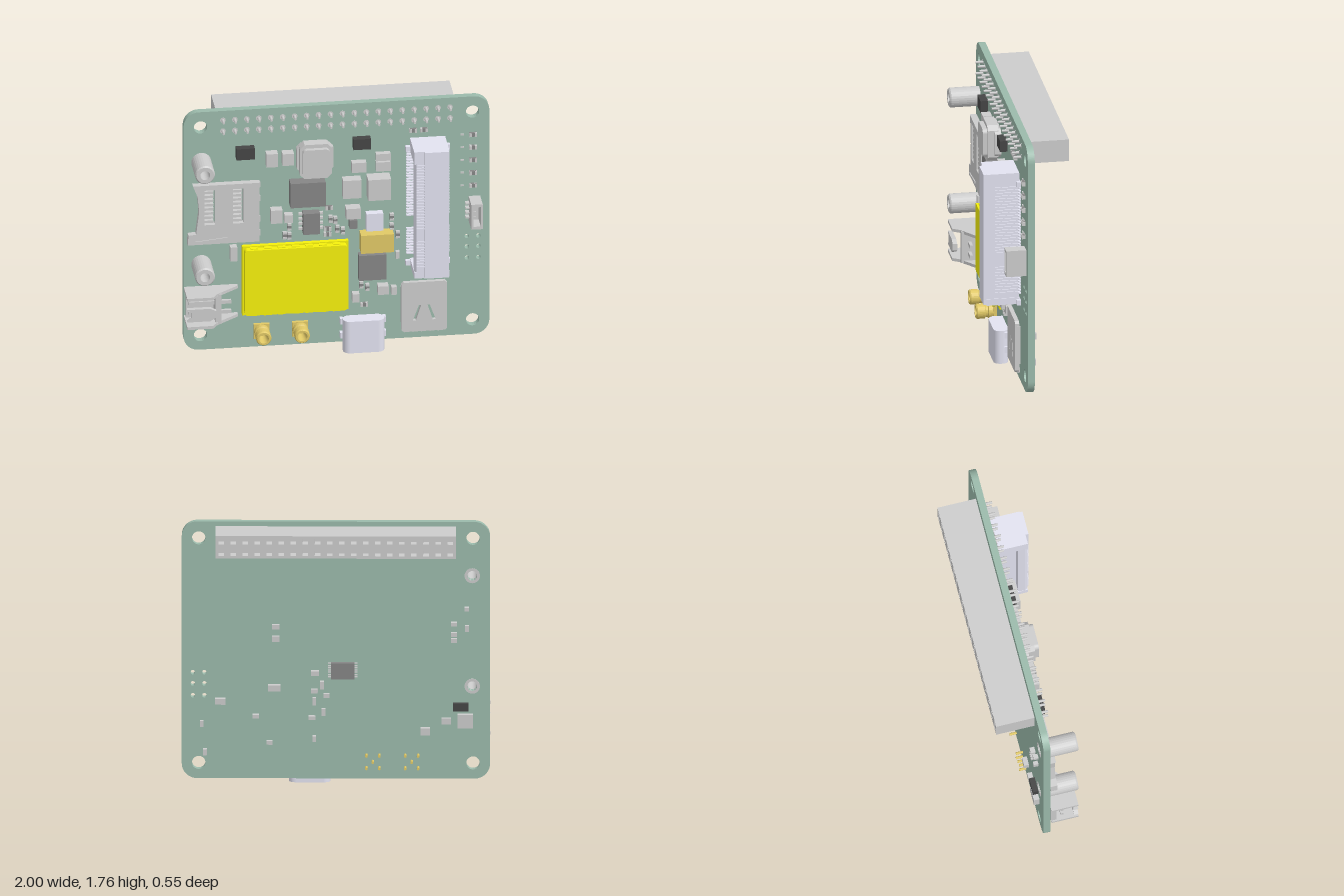
import * as THREE from 'three';

const mat = (color) => new THREE.MeshStandardMaterial({ color, side: THREE.DoubleSide });
const FRONT = 0.033, BACK = -0.013; // board faces

export function createModel() {
  const root = new THREE.Group();
  const grey = mat(0xcccccc), green = mat(0x9bbaab), yellow = mat(0xf5f00c), gold = mat(0xe0c866),
    pale = mat(0xe2e2f0), dark = mat(0x454545), mid = mat(0x858585);

  // helpers
  const add = (name, geo, m, x = 0, y = 0, z = 0, parent = root) => {
    const mesh = new THREE.Mesh(geo, m);
    mesh.name = name;
    mesh.position.set(x, y, z);
    parent.add(mesh);
    return mesh;
  };
  const group = (name) => {
    const g = new THREE.Group();
    g.name = name;
    root.add(g);
    return g;
  };
  const box = (name, x0, x1, y0, y1, z0, z1, m = grey, parent = root) =>
    add(name, new THREE.BoxGeometry(x1 - x0, y1 - y0, z1 - z0), m, (x0 + x1) / 2, (y0 + y1) / 2, (z0 + z1) / 2, parent);
  const poly = (pts, Type = THREE.Shape) => new Type(pts.map(([x, y]) => new THREE.Vector2(x, y)));
  const rectPts = (x0, x1, y0, y1) => [[x0, y0], [x1, y0], [x1, y1], [x0, y1]];
  const chamfer = (x0, x1, y0, y1, c) => poly([[x0 + c, y0], [x1 - c, y0], [x1, y0 + c], [x1, y1 - c],
    [x1 - c, y1], [x0 + c, y1], [x0, y1 - c], [x0, y0 + c]]);
  const round = (x0, x1, y0, y1, r, Type = THREE.Shape) => {
    const s = new Type();
    s.absarc(x1 - r, y1 - r, r, 0, Math.PI / 2);
    s.absarc(x0 + r, y1 - r, r, Math.PI / 2, Math.PI);
    s.absarc(x0 + r, y0 + r, r, Math.PI, Math.PI * 1.5);
    s.absarc(x1 - r, y0 + r, r, Math.PI * 1.5, Math.PI * 2);
    s.closePath();
    return s;
  };
  const circle = (x, y, r, Type = THREE.Path) => new Type().absarc(x, y, r, 0, Math.PI * 2);
  const extrude = (shape, depth) => new THREE.ExtrudeGeometry(shape, { depth, bevelEnabled: false, curveSegments: 10 });
  const plate = (name, shape, z0, z1, m = grey, parent = root) => add(name, extrude(shape, z1 - z0), m, 0, 0, z0, parent);
  // plan drawn in x,z and extruded downwards from yTop
  const column = (name, shape, yTop, h, m, parent = root) =>
    add(name, extrude(shape, h).rotateX(Math.PI / 2), m, 0, yTop, 0, parent);
  // hollow turned part standing along z, profile given as [radius, z]
  const turned = (name, pts, x, y, m, parent = root) =>
    add(name, new THREE.LatheGeometry(pts.map(([r, z]) => new THREE.Vector2(r, z)), 28).rotateX(Math.PI / 2)
      .toNonIndexed(), m, x, y, 0, parent).geometry.computeVertexNormals();

  // circuit board with mounting and spare pin holes
  const board = round(-1, 1, 0.04, 1.76, 0.1);
  for (const x of [-0.89, 0.89]) for (const y of [0.145, 1.65]) board.holes.push(circle(x, y, 0.044));
  for (const y of [1.4, 0.66]) board.holes.push(circle(-0.885, y, 0.032));
  for (const x of [0.853, 0.928]) for (const y of [0.595, 0.675, 0.75]) board.holes.push(circle(x, y, 0.015));
  plate('circuitBoard', board, BACK, FRONT, green);

  // 2 x 20 socket header on the back, pin tips on the front
  const header = group('socketHeader');
  const face = poly(rectPts(-0.78, 0.78, 1.58, 1.73));
  for (let i = 0; i < 20; i++) for (const y of [1.615, 1.693]) {
    const x = -0.743 + i * 0.0782;
    face.holes.push(poly(rectPts(x - 0.018, x + 0.018, y - 0.018, y + 0.018), THREE.Path));
    add('headerPin', new THREE.CylinderGeometry(0.008, 0.011, 0.05, 8).rotateX(Math.PI / 2), grey, x, y, 0.056, header);
    add('pinPad', new THREE.CylinderGeometry(0.019, 0.019, 0.003, 12).rotateX(Math.PI / 2), grey, x, y, FRONT, header);
  }
  plate('socketFace', face, -0.275, -0.2, grey, header);
  box('socketBody', -0.78, 0.78, 1.58, 1.73, -0.2, -0.018, grey, header);

  // threaded standoffs
  for (const y of [1.4, 0.66])
    turned('standoff', [[0.032, -0.017], [0.05, -0.017], [0.05, FRONT], [0.065, FRONT], [0.065, 0.225], [0.057, 0.235],
      [0.032, 0.235], [0.032, -0.017]], -0.885, y, grey);

  // memory card slot
  const card = poly([[-0.51, 1.25], [-0.945, 1.25], [-0.915, 1.17], [-0.905, 1.06], [-0.925, 0.9], [-0.975, 0.895],
    [-0.98, 0.825], [-0.51, 0.825]]);
  for (const x of [-0.87, -0.685]) card.holes.push(poly(rectPts(x, x + 0.07, 0.965, 1.215), THREE.Path));
  const slot = group('cardSlot');
  plate('cardShell', card, 0.04, 0.085, grey, slot);
  for (let i = 0; i < 8; i++) for (const x of [-0.87, -0.685])
    box('cardContact', x, x + 0.06, 0.975 + i * 0.03, 0.992 + i * 0.03, 0.04, 0.075, grey, slot);
  box('cardLatch', -0.93, -0.72, 0.845, 0.86, 0.085, 0.092, grey, slot).rotation.z = 0.1;
  for (const y of [0.85, 0.95, 1.1, 1.2]) box('cardFoot', -0.525, -0.5, y, y + 0.04, FRONT, 0.05, grey, slot);

  // yellow shielded radio module
  const radio = group('shieldedModule');
  box('moduleBase', -0.62, 0.075, 0.285, 0.782, FRONT, 0.062, yellow, radio);
  plate('moduleLid', round(-0.608, 0.063, 0.3, 0.77, 0.02), 0.062, 0.105, yellow, radio);
  for (let i = 0; i < 7; i++) for (const y of [0.294, 0.768])
    box('lidTab', -0.57 + i * 0.09, -0.52 + i * 0.09, y - 0.004, y + 0.008, 0.06, 0.09, yellow, radio);

  // card edge connector with contact rows and end blocks
  const edge = group('edgeConnector');
  box('edgeBody', 0.545, 0.705, 0.58, 1.49, 0.04, 0.275, pale, edge);
  column('edgeLip', poly([[0.545, 0.19], [0.485, 0.19], [0.48, 0.235], [0.495, 0.255], [0.545, 0.255]]), 1.4, 0.78, pale, edge);
  for (const [y0, y1] of [[0.575, 0.62], [1.4, 1.49]]) {
    box('edgeEnd', 0.48, 0.71, y0, y1, 0.04, 0.255, pale, edge);
    box('edgeFoot', 0.45, 0.74, y0, y0 + 0.035, FRONT, 0.06, pale, edge);
  }
  for (let i = 0; i < 38; i++) {
    const y = 0.655 + i * 0.0198;
    if (y > 0.85 && y < 0.93) continue;
    box('rightContact', 0.7, 0.712, y, y + 0.008, 0.045, 0.2, pale, edge);
    box('rightLead', 0.7, 0.738, y, y + 0.008, FRONT, 0.05, pale, edge);
    box('leftLead', 0.455, 0.55, y, y + 0.008, FRONT, 0.055, pale, edge);
    box('leftContact', 0.495, 0.55, y, y + 0.008, 0.255, 0.262, pale, edge);
  }

  // rounded charging port, open at the bottom edge
  const port = group('chargingPort');
  const shell = round(0.035, 0.305, 0.037, 0.135, 0.045);
  shell.holes.push(round(0.05, 0.29, 0.05, 0.122, 0.034, THREE.Path));
  column('portShell', shell, 0.21, 0.21, pale, port);
  column('portBack', round(0.035, 0.305, 0.037, 0.135, 0.045), 0.228, 0.03, pale, port);
  box('portTongue', 0.09, 0.25, 0.03, 0.2, 0.079, 0.093, pale, port);
  for (const x of [0.02, 0.3]) for (const y of [0.08, 0.18]) box('portTab', x, x + 0.02, y, y + 0.04, FRONT, 0.07, pale, port);

  // SIM tray with sprung slits
  const sim = group('simTray');
  const lid = chamfer(0.42, 0.72, 0.1, 0.455, 0.015);
  for (const s of [-1, 1]) {
    lid.holes.push(poly([[0.57 + s * 0.02, 0.29], [0.57 + s * 0.035, 0.29], [0.57 + s * 0.075, 0.18], [0.57 + s * 0.055, 0.18]], THREE.Path));
    box('simEdge', 0.57 + s * 0.145 - 0.006, 0.57 + s * 0.145 + 0.006, 0.16, 0.42, 0.03, 0.06, grey, sim);
  }
  plate('simLid', lid, 0.042, 0.07, grey, sim);
  for (let i = 0; i < 5; i++) box('simContact', 0.44 + i * 0.055, 0.475 + i * 0.055, 0.088, 0.12, FRONT, 0.05, grey, sim);

  // side power connector: sloped cheeks, floor, back wall and tongue
  const power = group('powerConnector');
  const cheek = poly([[-1, 0.04], [-0.65, 0.04], [-0.65, 0.065], [-0.8, 0.175], [-0.83, 0.22], [-1, 0.22]]);
  for (const y of [0.505, 0.3]) column('powerCheek', cheek, y, 0.02, grey, power);
  box('powerFloor', -0.99, -0.79, 0.285, 0.5, 0.04, 0.075, grey, power);
  box('powerBack', -0.81, -0.77, 0.285, 0.5, 0.04, 0.17, grey, power);
  plate('powerTongue', poly([[-1, 0.335], [-0.85, 0.335], [-0.81, 0.36], [-0.81, 0.405], [-0.85, 0.425], [-1, 0.425],
    [-0.97, 0.4], [-0.97, 0.36]]), 0.19, 0.22, grey, power);
  for (const y of [0.35, 0.42]) box('powerPin', -0.98, -0.7, y - 0.012, y + 0.012, 0.105, 0.125, grey, power);

  // small open socket on the +x edge
  const cable = group('cableSocket');
  const wall = poly(rectPts(0.865, 0.94, 0.86, 1.04));
  wall.holes.push(poly(rectPts(0.88, 0.927, 0.88, 1.02), THREE.Path));
  plate('socketWall', wall, 0.05, 0.165, grey, cable);
  box('socketFloor', 0.865, 0.94, 0.86, 1.04, FRONT, 0.06, grey, cable);
  for (let i = 0; i < 4; i++) box('socketLead', 0.84, 0.91, 0.897 + i * 0.033, 0.907 + i * 0.033, FRONT, 0.07, grey, cable);

  // gold aerial jacks with pins through to the back
  for (const x of [-0.492, -0.24]) {
    const jack = group('aerialJack'), y = 0.157;
    box('jackBase', x - 0.052, x + 0.052, y - 0.052, y + 0.052, FRONT, 0.055, gold, jack);
    turned('jackBarrel', [[0.05, 0.05], [0.05, 0.085], [0.042, 0.09], [0.042, 0.105], [0.05, 0.11], [0.05, 0.158],
      [0.044, 0.167], [0.032, 0.167], [0.02, 0.08], [0, 0.08]], x, y, gold, jack);
    for (const [dx, dy] of [[0, 0], [1, 1], [1, -1], [-1, 1], [-1, -1]])
      add('jackPin', new THREE.CylinderGeometry(0.009, 0.009, 0.048, 8).rotateX(Math.PI / 2), gold, x + dx * 0.042, y + dy * 0.042, -0.036, jack);
  }

  // power inductor: notched body with rounded cap
  plate('inductorBase', chamfer(-0.265, -0.025, 1.3, 1.5, 0.03), FRONT, 0.075);
  plate('inductorBody', chamfer(-0.25, -0.04, 1.275, 1.52, 0.03), 0.05, 0.12);
  plate('inductorCap', round(-0.235, -0.055, 1.3, 1.495, 0.03), 0.12, 0.15);

  // eight-leg chip
  box('smallChip', -0.225, -0.115, 0.86, 1.01, 0.04, 0.1, mid);
  for (let i = 0; i < 4; i++) box('chipLeg', -0.25, -0.09, 0.875 + i * 0.035, 0.89 + i * 0.035, FRONT, 0.055);

  // large blocks: x0, x1, y0, y1, height
  const blocks = (name, m, list) => list.forEach(([a, b, c, d, h]) => box(name, a, b, c, d, FRONT, FRONT + h, m));
  blocks('diode', dark, [[-0.66, -0.54, 1.42, 1.5, 0.05], [0.105, 0.22, 1.445, 1.52, 0.05]]);
  blocks('darkInductor', mid, [[-0.31, -0.08, 1.065, 1.24, 0.08], [0.14, 0.32, 0.5, 0.68, 0.06], [0.08, 0.13, 0.875, 0.935, 0.05]]);
  blocks('goldCapacitor', gold, [[0.15, 0.365, 0.71, 0.84, 0.09]]);
  blocks('paleBlock', pale, [[0.19, 0.3, 0.85, 0.975, 0.05]]);
  blocks('capacitor', grey, [[-0.465, -0.39, 1.36, 1.455, 0.06], [-0.36, -0.285, 1.365, 1.45, 0.06], [0.035, 0.155, 1.105, 1.235, 0.07],
    [0.195, 0.345, 1.095, 1.245, 0.1], [0.095, 0.19, 1.28, 1.35, 0.05], [0.255, 0.35, 1.35, 1.4, 0.04], [0.255, 0.35, 1.275, 1.34, 0.04],
    [0.055, 0.15, 0.955, 1.03, 0.07], [-0.435, -0.36, 0.95, 1.045, 0.06], [-0.345, -0.29, 0.945, 1, 0.05], [0.1, 0.145, 0.34, 0.4, 0.05],
    [0.265, 0.335, 0.39, 0.45, 0.06], [0.355, 0.39, 0.375, 0.43, 0.04], [-0.7, -0.655, 0.69, 0.79, 0.05], [0.385, 0.41, 0.63, 0.68, 0.03]]);

  // chip resistors with raised end caps: x, y, upright flag
  const resistor = (x, y, up, w = 0.045, h = 0.026) => {
    const a = up ? h / 2 : w / 2, b = up ? w / 2 : h / 2;
    box('resistor', x - a, x + a, y - b, y + b, FRONT, 0.053, mid);
    for (const s of [-1, 1]) {
      const cx = up ? x : x + s * a * 0.75, cy = up ? y + s * b * 0.75 : y;
      box('resistorEnd', cx - (up ? a : a / 3), cx + (up ? a : a / 3), cy - (up ? b / 3 : b), cy + (up ? b / 3 : b), FRONT, 0.057);
    }
  };
  for (let i = 0; i < 5; i++) {
    resistor(0.893, 1.49 - i * 0.092, false);
    box('indicator', 0.81, 0.835, 1.485 - i * 0.092, 1.495 - i * 0.092, FRONT, 0.04);
  }
  [[0.5, 1.545, 0], [0.57, 1.545, 0], [0.18, 0.305, 0], [-0.31, 0.9, 1], [-0.34, 0.84, 1], [-0.31, 0.835, 1], [-0.05, 1.02, 0],
    [-0.04, 0.94, 1], [-0.01, 0.93, 1], [-0.06, 0.87, 0], [0.005, 0.865, 1], [0.04, 0.85, 1], [0.36, 0.93, 1], [0.36, 0.86, 1],
    [0.16, 0.45, 1], [0.2, 0.43, 1], [0.4, 0.8, 1], [-0.06, 0.83, 0]].forEach(([x, y, up]) => resistor(x, y, up));

  // back-side parts: centre x, y, width, height
  box('backChip', -0.12, 0.03, 0.71, 0.82, -0.047, BACK, mid);
  for (let i = 0; i < 7; i++) box('backChipLeg', -0.14, 0.05, 0.718 + i * 0.015, 0.725 + i * 0.015, -0.025, BACK);
  box('backDiode', -0.86, -0.76, 0.5, 0.55, -0.05, BACK, dark);
  box('backBlock', -0.89, -0.79, 0.385, 0.475, -0.05, BACK);
  [[0.39, 1.06, 0.05, 0.03], [0.39, 0.98, 0.05, 0.035], [0.4, 0.65, 0.08, 0.04], [0.75, 0.56, 0.07, 0.04], [0.135, 0.75, 0.05, 0.03],
    [0.14, 0.63, 0.045, 0.025], [0.14, 0.56, 0.025, 0.05], [0.09, 0.67, 0.025, 0.05], [0.08, 0.49, 0.025, 0.045], [0.155, 0.45, 0.045, 0.025],
    [0.87, 0.41, 0.025, 0.04], [0.85, 0.22, 0.025, 0.04], [0.52, 0.46, 0.04, 0.025], [0.43, 0.285, 0.04, 0.025], [-0.767, 1.08, 0.04, 0.025],
    [-0.85, 1.05, 0.025, 0.04], [-0.767, 1.01, 0.04, 0.025], [-0.767, 0.97, 0.04, 0.025], [-0.716, 0.43, 0.06, 0.04], [-0.58, 0.36, 0.06, 0.05],
    [-0.85, 1.18, 0.03, 0.025], [0.06, 0.6, 0.04, 0.025], [0.14, 0.31, 0.025, 0.04]].forEach(([x, y, w, h]) =>
    box('backPart', x - w / 2, x + w / 2, y - h / 2, y + h / 2, -0.045, BACK));

  return root;
}
